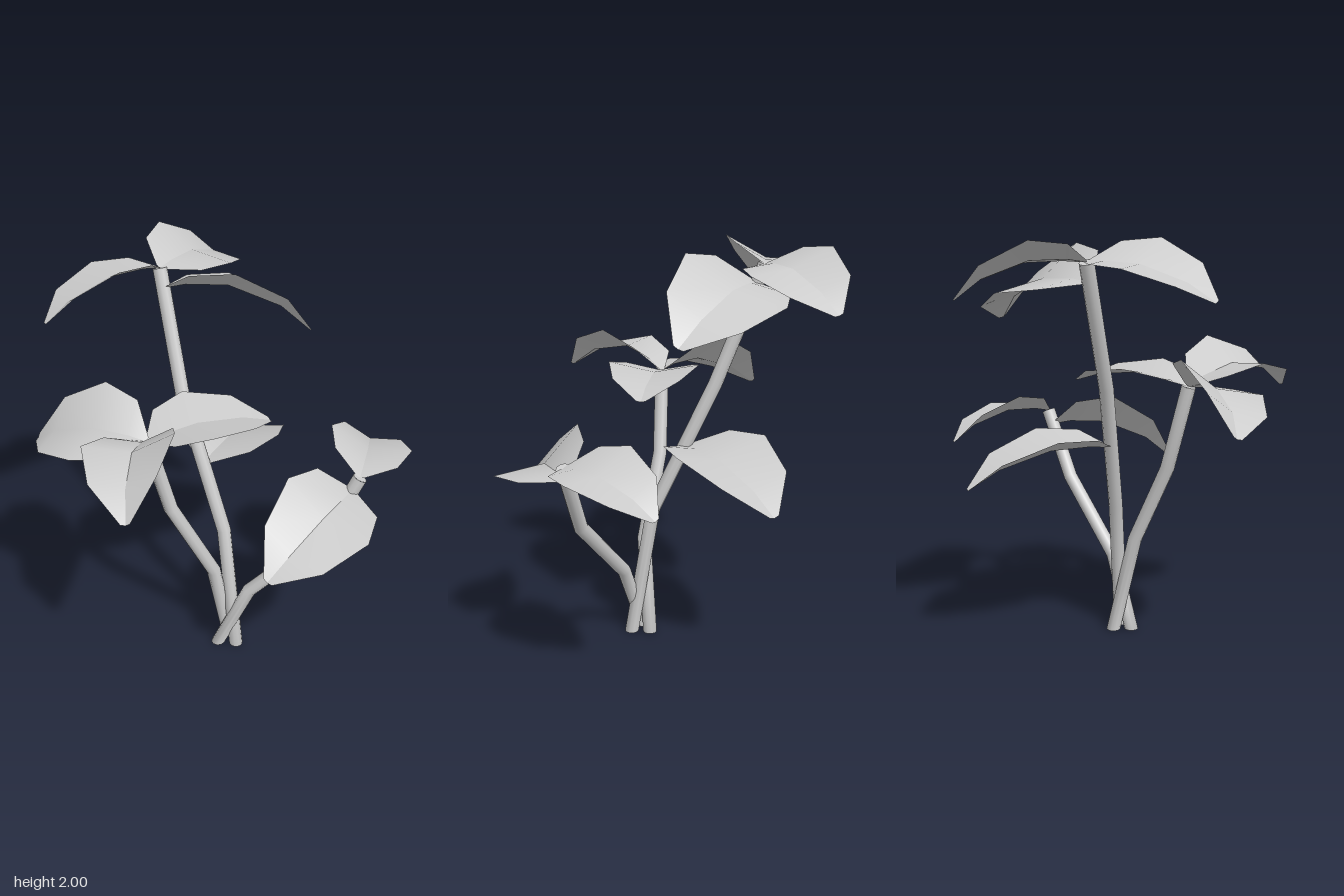
import * as THREE from 'three';

const material = new THREE.MeshStandardMaterial({ color: 0xcccccc });
const leafMaterial = new THREE.MeshStandardMaterial({ color: 0xcccccc, side: THREE.DoubleSide });
const vec = (p) => new THREE.Vector3(...p);
const { degToRad } = THREE.MathUtils;
const STEM_RADIUS = 0.035;

// Path of straight lengths with mitred bends, upright at the ground
class BentPath extends THREE.Curve {
  constructor(points) {
    super();
    this.points = points.map(vec);
  }
  index(u) {
    return Math.round(u * (this.points.length - 1));
  }
  getPointAt(u, target = new THREE.Vector3()) {
    return target.copy(this.points[this.index(u)]);
  }
  getTangentAt(u, target = new THREE.Vector3()) {
    const i = this.index(u), p = this.points, last = p.length - 1;
    if (i === 0) return target.set(0, 1, 0);
    target.copy(p[i]).sub(p[i - 1]).normalize();
    if (i < last) target.add(p[i + 1].clone().sub(p[i]).normalize()).normalize();
    return target;
  }
  // Point on the stem at a given height
  atHeight(y) {
    const p = this.points;
    const i = Math.max(1, p.findIndex((q) => q.y >= y));
    return p[i - 1].clone().lerp(p[i], (y - p[i - 1].y) / (p[i].y - p[i - 1].y));
  }
}

function makeStem(name, path) {
  const group = new THREE.Group();
  group.name = name;
  const tube = new THREE.Mesh(new THREE.TubeGeometry(path, path.points.length - 1, STEM_RADIUS, 10), material);
  tube.name = 'stemTube';
  group.add(tube);
  // Flat ends
  for (const [u, sign] of [[0, -1], [1, 1]]) {
    const cap = new THREE.Mesh(new THREE.CircleGeometry(STEM_RADIUS, 10), material);
    cap.name = 'stemEnd';
    cap.position.copy(path.getPointAt(u));
    cap.quaternion.setFromUnitVectors(new THREE.Vector3(0, 0, 1), path.getTangentAt(u).multiplyScalar(sign));
    group.add(cap);
  }
  return group;
}

// Stations along a leaf: [position on the midrib, relative width]
const STATIONS = [[0, 0.1], [0.13, 0.76], [0.4, 1], [0.77, 0.72], [1, 0.1]];
const HALF_WIDTH = 0.38; // relative to the leaf's length

// Leaf with an arched midrib, its halves folded up by an angle, the whole rolled about its length
function makeLeaf(base, { tip, arch, fold, roll }) {
  const along = vec(tip).sub(base);
  const length = along.length();
  const axis = along.clone().normalize();
  const left = new THREE.Vector3(axis.z, 0, -axis.x).normalize().applyAxisAngle(axis, degToRad(roll));
  const up = axis.clone().cross(left);
  const positions = [], indices = [];
  // The halves share no vertices, so the fold stays crisp
  for (const side of [1, -1]) {
    const spread = left.clone().multiplyScalar(side * Math.cos(degToRad(fold)))
      .addScaledVector(up, Math.sin(degToRad(fold)));
    const start = positions.length / 3;
    STATIONS.forEach(([s, width], i) => {
      const rib = base.clone().addScaledVector(along, s).addScaledVector(up, arch * s * (1 - s) / 0.24);
      const rim = rib.clone().addScaledVector(spread, HALF_WIDTH * length * width);
      positions.push(...rib.toArray(), ...rim.toArray());
      if (i === 0) return;
      const r0 = start + 2 * (i - 1), e0 = r0 + 1, r1 = r0 + 2, e1 = r0 + 3;
      if (side > 0) indices.push(r0, r1, e1, r0, e1, e0);
      else indices.push(r0, e1, r1, r0, e0, e1);
    });
  }
  const geometry = new THREE.BufferGeometry();
  geometry.setAttribute('position', new THREE.Float32BufferAttribute(positions, 3));
  geometry.setIndex(indices);
  geometry.computeVertexNormals();
  const leaf = new THREE.Mesh(geometry, leafMaterial);
  leaf.name = 'leaf';
  return leaf;
}

// Stems with their bends, and the leaves growing from them at given heights (angles in degrees)
const TALL = {
  name: 'tallStem',
  points: [[0.085, 0, 0.155], [0.01, 0.67, 0.07], [-0.22, 1.3, -0.14], [-0.35, 1.89, -0.33]],
  leaves: [
    { height: 1.89, tip: [-0.12, 1.73, -0.86], arch: 0.077, fold: 10, roll: 15 },
    { height: 1.89, tip: [-0.83, 1.73, 0.01], arch: 0.067, fold: 13, roll: 16 },
    { height: 1.8, tip: [0.375, 1.6, -0.35], arch: 0.098, fold: 12, roll: -24 },
    { height: 0.99, tip: [0.11, 0.82, -0.7], arch: 0.07, fold: 17, roll: 3 },
  ],
};
const MIDDLE = {
  name: 'middleStem',
  points: [[0.035, 0, 0.075], [-0.03, 0.48, 0.16], [-0.23, 0.88, 0.21], [-0.32, 1.29, 0.265]],
  leaves: [
    { height: 1.29, tip: [-0.9, 1.15, 0.08], arch: 0.094, fold: 14, roll: -24 },
    { height: 1.29, tip: [0.22, 1.28, -0.02], arch: 0.055, fold: 11, roll: 0 },
    { height: 1.29, tip: [-0.3, 1.25, 0.86], arch: 0.118, fold: 18, roll: 13 },
  ],
};
const SHORT = {
  name: 'shortStem',
  points: [[-0.01, 0, 0.155], [0.15, 0.36, 0.15], [0.51, 0.71, 0.115], [0.665, 1.05, 0.075]],
  leaves: [
    { height: 1.05, tip: [0.7, 0.93, -0.475], arch: 0.07, fold: 16, roll: 13 },
    { height: 0.98, tip: [0.28, 0.8, 0.61], arch: 0.09, fold: 18, roll: -26 },
  ],
};

export function createModel() {
  const plant = new THREE.Group();
  plant.name = 'plant';
  for (const { name, points, leaves } of [TALL, MIDDLE, SHORT]) {
    const path = new BentPath(points);
    const branch = makeStem(name, path);
    leaves.forEach((leaf) => branch.add(makeLeaf(path.atHeight(leaf.height), leaf)));
    plant.add(branch);
  }
  return plant;
}
